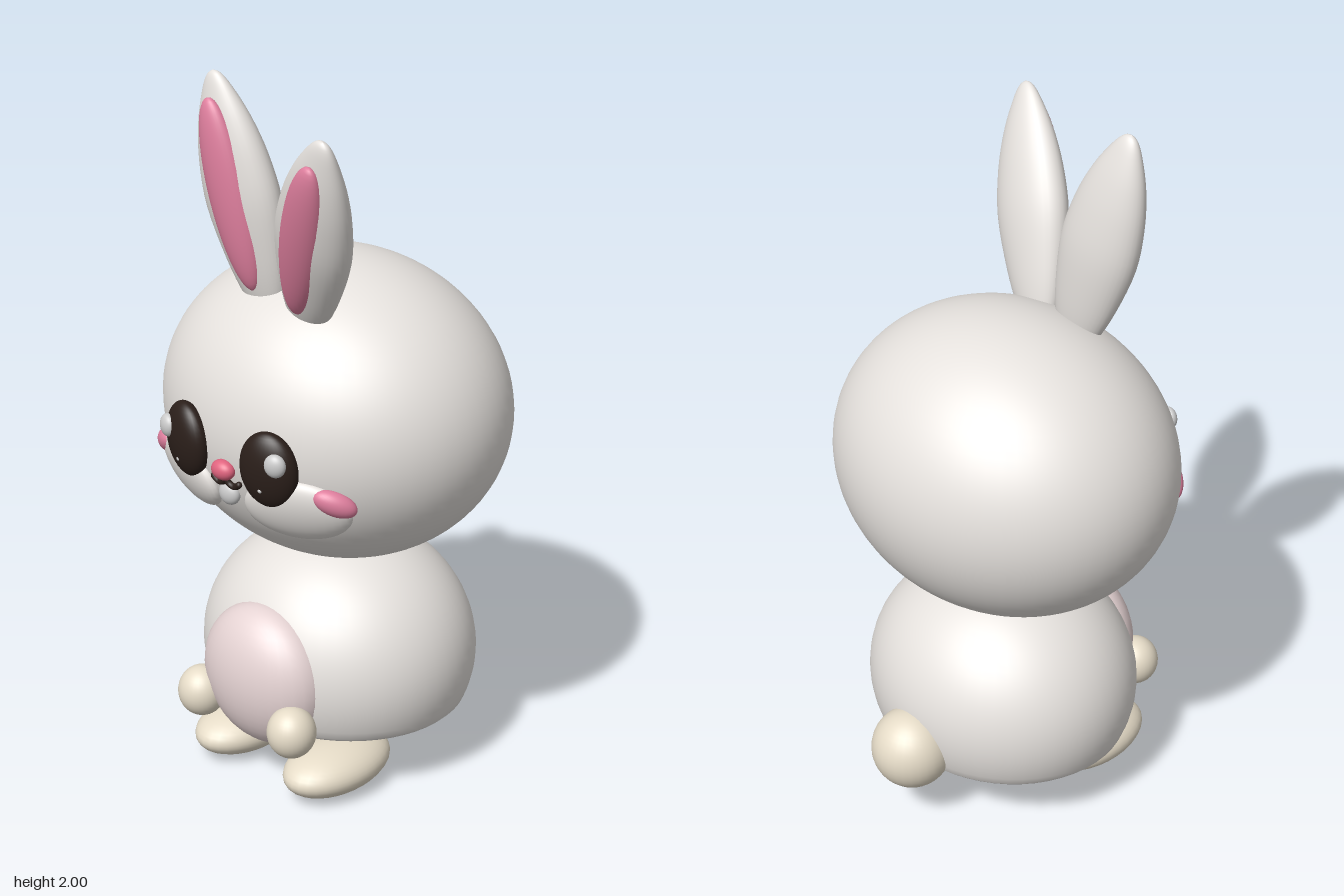
import * as THREE from 'three';

const mat = (color) => new THREE.MeshStandardMaterial({ color, roughness: 0.7 });
const FUR = mat(0xe6e2de), CREAM = mat(0xe6dcc8), BELLY = mat(0xe6d4d4), PINK = mat(0xe0809f);
const NOSE = mat(0xe0647f), DARK = mat(0x2b1f1a), GREY = mat(0xcccccc);

const HEAD = { y: 1.065, z: 0.01, rx: 0.51, ry: 0.425, rz: 0.435 };

function oval(parent, name, material, pos, radii, seg = 32) {
  const mesh = new THREE.Mesh(new THREE.SphereGeometry(1, seg, Math.round(seg * 0.7)), material);
  mesh.name = name;
  mesh.position.set(...pos);
  mesh.scale.set(...radii);
  parent.add(mesh);
  return mesh;
}

// z of the head's front surface
function headZ(x, y) {
  const k = 1 - (x / HEAD.rx) ** 2 - ((y - HEAD.y) / HEAD.ry) ** 2;
  return HEAD.z + HEAD.rz * Math.sqrt(Math.max(0, k));
}

// Flattened oval lying on the face, turned to the head's surface normal
function faceOval(parent, name, material, x, y, radii, lift = 0, tilt = 0) {
  const p = new THREE.Vector3(x, y, headZ(x, y));
  const n = new THREE.Vector3(x / HEAD.rx ** 2, (y - HEAD.y) / HEAD.ry ** 2, (p.z - HEAD.z) / HEAD.rz ** 2).normalize();
  p.addScaledVector(n, lift);
  const mesh = oval(parent, name, material, p.toArray(), radii);
  mesh.lookAt(p.clone().add(n));
  mesh.rotateZ(tilt);
  return mesh;
}

// Leaf-shaped ear from base to tip, with a pink inner panel on its front
function ear(parent, name, base, tip) {
  const b = new THREE.Vector3(...base), t = new THREE.Vector3(...tip);
  const up = t.clone().sub(b), len = up.length();
  up.normalize();
  const side = new THREE.Vector3().crossVectors(up, new THREE.Vector3(0, 0, 1)).normalize();
  const front = new THREE.Vector3().crossVectors(side, up);
  const group = new THREE.Group();
  group.name = name;
  group.position.copy(b);
  group.quaternion.setFromRotationMatrix(new THREE.Matrix4().makeBasis(side, up, front));

  const points = [[0, 0], [0.035, 0.03], [0.07, 0.12], [0.1, 0.27], [0.122, 0.48], [0.112, 0.66],
    [0.085, 0.81], [0.048, 0.93], [0.022, 0.985], [0, 1]].map(([r, h]) => new THREE.Vector2(r, h * len));
  const profile = new THREE.SplineCurve(points).getPoints(36);
  profile.forEach((p) => { p.x = Math.max(0, p.x); });
  const shell = new THREE.Mesh(new THREE.LatheGeometry(profile, 36), FUR);
  shell.name = 'earShell';
  shell.scale.z = 0.58;
  group.add(shell);
  oval(group, 'innerEar', PINK, [0, len * 0.53, 0.04], [0.068, 0.262, 0.045]);
  parent.add(group);
}

export function createModel() {
  const model = new THREE.Group();
  model.name = 'rabbit';

  // Body: dome cut flat at the bottom
  const profile = [new THREE.Vector2(0, 0.185), new THREE.Vector2(0.345, 0.185), new THREE.Vector2(0.362, 0.188)];
  const start = Math.asin((0.2 - 0.33) / 0.358);
  for (let i = 0; i <= 28; i++) {
    const a = start + (Math.PI / 2 - start) * (i / 28);
    profile.push(new THREE.Vector2(Math.max(0, 0.402 * Math.cos(a)), 0.33 + 0.358 * Math.sin(a)));
  }
  const body = new THREE.Mesh(new THREE.LatheGeometry(profile, 56), FUR);
  body.name = 'body';
  body.scale.z = 0.91;
  model.add(body);

  oval(model, 'belly', BELLY, [0, 0.335, 0.297], [0.205, 0.205, 0.128]);
  oval(model, 'tail', CREAM, [0, 0.25, -0.36], [0.115, 0.118, 0.115]);
  oval(model, 'head', FUR, [0, HEAD.y, HEAD.z], [HEAD.rx, HEAD.ry, HEAD.rz], 64);

  // Ears, posed unevenly
  ear(model, 'rightEar', [-0.05, 1.33, 0.205], [-0.19, 2.0, 0.27]);
  ear(model, 'leftEar', [0.06, 1.33, 0.2], [0.315, 1.94, 0.4]);

  // Paired parts
  for (const [s, sideName] of [[1, 'left'], [-1, 'right']]) {
    oval(model, sideName + 'Paw', CREAM, [s * 0.172, 0.247, 0.378], [0.068, 0.073, 0.068]);
    oval(model, sideName + 'Foot', CREAM, [s * 0.172, 0.073, 0.197], [0.114, 0.071, 0.183]);
    faceOval(model, sideName + 'Cheek', FUR, s * 0.2, 0.915, [0.152, 0.1, 0.045], -0.012, s * 0.08);
    faceOval(model, sideName + 'Blush', PINK, s * 0.303, 0.965, [0.062, 0.034, 0.03], 0.008, -s * 0.4);
    faceOval(model, sideName + 'Eye', DARK, s * 0.148, 1.038, [0.084, 0.107, 0.045], 0.004);
    faceOval(model, sideName + 'EyeHighlight', GREY, s * 0.183, 1.07, [0.03, 0.032, 0.02], 0.042);
    faceOval(model, sideName + 'EyeSparkle', GREY, s * 0.14, 0.997, [0.006, 0.006, 0.005], 0.045);

    // Half of the mouth: a small drooping arc
    const arc = new THREE.CatmullRomCurve3([[0, 0.975], [0.012, 0.957], [0.03, 0.953], [0.046, 0.964]]
      .map(([x, y]) => new THREE.Vector3(s * x, y, headZ(x, y) + 0.006)));
    const mouth = new THREE.Mesh(new THREE.TubeGeometry(arc, 16, 0.009, 8), DARK);
    mouth.name = sideName + 'Mouth';
    model.add(mouth);
    oval(model, sideName + 'MouthEnd', DARK, arc.getPoint(1).toArray(), [0.009, 0.009, 0.009], 12);
  }

  oval(model, 'nose', NOSE, [0, 0.998, 0.448], [0.037, 0.028, 0.026]);
  oval(model, 'teeth', GREY, [0, 0.924, 0.425], [0.034, 0.033, 0.022]);
  return model;
}
